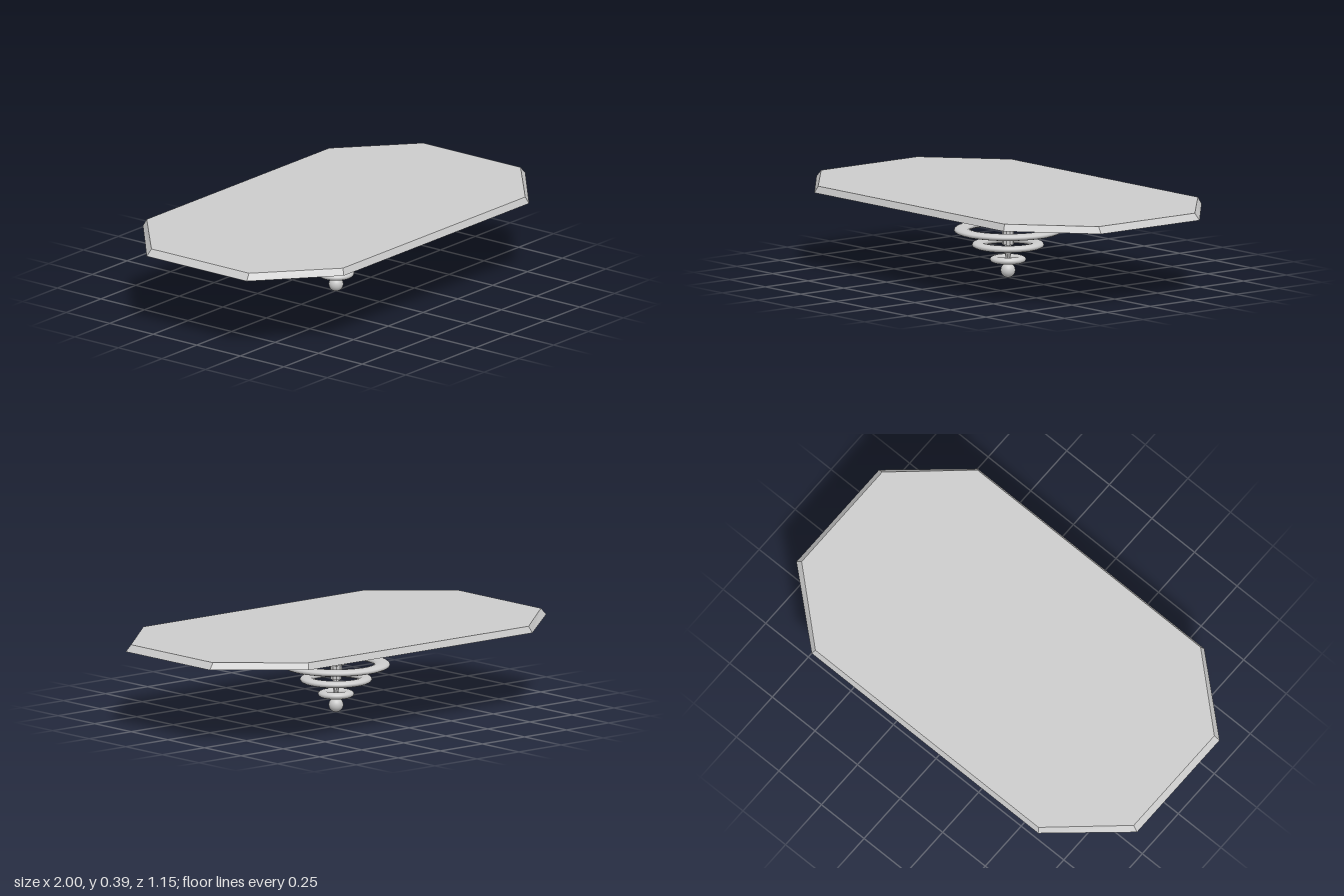
import * as THREE from 'three';

const material = new THREE.MeshStandardMaterial({ color: 0xcccccc, flatShading: true });
const smooth = new THREE.MeshStandardMaterial({ color: 0xcccccc });

// Corners of an oblong with its corners cut: half sizes x, z and where the cut starts cx, cz
function octagon([y, x, z, cx, cz]) {
  return [[x, cz], [cx, z], [-cx, z], [-x, cz], [-x, -cz], [-cx, -z], [cx, -z], [x, -cz]]
    .map(([px, pz]) => [px, y, pz]);
}

// Solid through octagonal sections listed from top to bottom, capped at both ends
function loft(sections) {
  const rings = sections.map(octagon);
  const points = [];
  const tri = (a, b, c) => points.push(...a, ...b, ...c);
  for (let s = 0; s < rings.length - 1; s++) {
    for (let i = 0; i < 8; i++) {
      const j = (i + 1) % 8;
      const [a, b, c, d] = [rings[s][i], rings[s][j], rings[s + 1][j], rings[s + 1][i]];
      tri(a, b, c);
      tri(a, c, d);
    }
  }
  const top = rings[0], bottom = rings[rings.length - 1];
  for (let i = 1; i < 7; i++) {
    tri(top[0], top[i + 1], top[i]);
    tri(bottom[0], bottom[i], bottom[i + 1]);
  }
  const geometry = new THREE.BufferGeometry();
  geometry.setAttribute('position', new THREE.Float32BufferAttribute(points, 3));
  geometry.computeVertexNormals();
  return geometry;
}

export function createModel() {
  const model = new THREE.Group();
  model.name = 'ceilingLamp';
  const add = (name, geometry, mat = material) => {
    const mesh = new THREE.Mesh(geometry, mat);
    mesh.name = name;
    model.add(mesh);
    return mesh;
  };

  // Wide bevelled plate
  add('ceilingPlate', loft([
    [0.39, 0.975, 0.563, 0.655, 0.28],
    [0.36, 1, 0.577, 0.665, 0.287],
  ]));

  // Lower tier with a shallow recess in its underside
  add('lowerTier', loft([
    [0.36, 0.80, 0.405, 0.53, 0.2],
    [0.33, 0.745, 0.37, 0.5, 0.185],
    [0.33, 0.69, 0.335, 0.465, 0.168],
    [0.339, 0.69, 0.335, 0.465, 0.168],
  ]));

  // Stepped canopy that carries the stem
  add('canopyRim', loft([
    [0.345, 0.235, 0.1, 0.155, 0.05],
    [0.33, 0.235, 0.1, 0.155, 0.05],
    [0.315, 0.22, 0.086, 0.145, 0.043],
  ]));
  add('canopyBase', loft([
    [0.315, 0.175, 0.06, 0.115, 0.03],
    [0.28, 0.145, 0.04, 0.095, 0.02],
  ]));

  // Stem narrowing in steps down to the ball
  const steps = [
    [0.28, 0.04], [0.215, 0.038], [0.215, 0.027], [0.15, 0.026],
    [0.15, 0.017], [0.125, 0.016], [0.09, 0.011], [0.06, 0.011],
  ];
  const profile = steps.map(([y, r]) => new THREE.Vector2(r, y)).reverse();
  add('stem', new THREE.LatheGeometry(profile, 10));

  // Flattened rings: height, outer radius, half width of the band
  [[0.217, 0.243, 0.036], [0.15, 0.162, 0.03], [0.083, 0.081, 0.024]].forEach(([y, outer, width], i) => {
    const geometry = new THREE.TorusGeometry(outer - width, width, 16, 64);
    geometry.scale(1, 1, 0.015 / width).rotateX(Math.PI / 2);
    add('ring' + (i + 1), geometry, smooth).position.y = y;
  });

  // Ball finial
  add('ball', new THREE.SphereGeometry(0.033, 32, 20), smooth).position.y = 0.033;

  return model;
}
